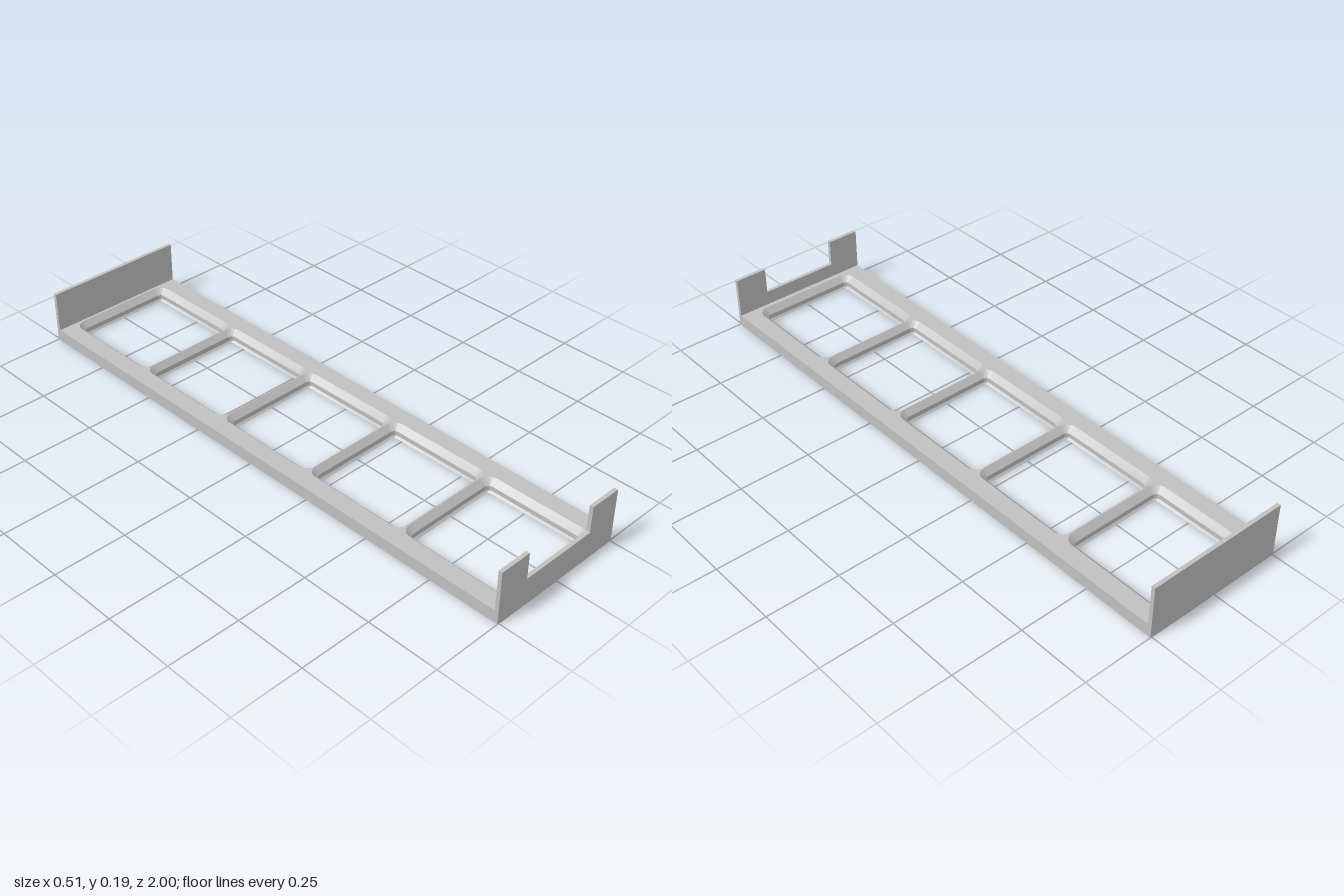
import * as THREE from 'three';
import { mergeGeometries, toCreasedNormals } from 'three/addons/utils/BufferGeometryUtils.js';

const WIDTH = 0.51, LENGTH = 2, HEIGHT = 0.186, PLATE = 0.043, WALL = 0.013;
const PITCH = 0.39, CELLS = 5, SHIFT = 0.004;

// Pocket profile from the top down: height, half size, corner radius
const PROFILE = [
  [PLATE, 0.1945, 0.037],
  [0.023, 0.175, 0.0175],
  [0.0065, 0.175, 0.0175],
  [0, 0.1685, 0.011],
];

// Counter-clockwise rounded square
function roundedRing(half, radius, cy, steps = 8) {
  const points = [];
  for (let corner = 0; corner < 4; corner++) {
    const mid = Math.PI / 4 + corner * Math.PI / 2;
    const cx = Math.sign(Math.cos(mid)) * (half - radius);
    const oy = Math.sign(Math.sin(mid)) * (half - radius);
    for (let i = 0; i <= steps; i++) {
      const a = corner * Math.PI / 2 + (i / steps) * Math.PI / 2;
      points.push(new THREE.Vector2(cx + radius * Math.cos(a), cy + oy + radius * Math.sin(a)));
    }
  }
  return points;
}

// Skin between successive rings; rising rings face outward, falling rings inward
function loft(rings, heights) {
  const n = rings[0].length, position = [], index = [];
  rings.forEach((ring, r) => ring.forEach((p) => position.push(p.x, p.y, heights[r])));
  for (let r = 0; r < rings.length - 1; r++) {
    for (let i = 0; i < n; i++) {
      const a = r * n + i, b = r * n + (i + 1) % n;
      index.push(a, b, b + n, a, b + n, a + n);
    }
  }
  const geometry = new THREE.BufferGeometry();
  geometry.setAttribute('position', new THREE.Float32BufferAttribute(position, 3));
  geometry.setIndex(index);
  return geometry;
}

// Flat face with holes, facing up or down
function face(outline, holes, height, down) {
  const shape = new THREE.Shape(outline);
  holes.forEach((ring) => shape.holes.push(new THREE.Path(ring)));
  const geometry = new THREE.ShapeGeometry(shape);
  geometry.deleteAttribute('uv');
  geometry.deleteAttribute('normal');
  if (down) geometry.setIndex(Array.from(geometry.index.array).reverse());
  return geometry.translate(0, 0, height);
}

function frameGeometry() {
  const w = WIDTH / 2, l = LENGTH / 2 - WALL;
  const outline = [[-w, -l], [w, -l], [w, l], [-w, l]].map(([x, y]) => new THREE.Vector2(x, y));
  const pockets = [];
  for (let i = 0; i < CELLS; i++) {
    const cy = (i - (CELLS - 1) / 2) * PITCH + SHIFT;
    pockets.push(PROFILE.map(([, half, radius]) => roundedRing(half, radius, cy)));
  }
  const heights = PROFILE.map(([h]) => h);
  const parts = [
    face(outline, pockets.map((p) => p[0]), PLATE, false),
    face(outline, pockets.map((p) => p[PROFILE.length - 1]), 0, true),
    loft([outline, outline], [0, PLATE]),
    ...pockets.map((p) => loft(p, heights)),
  ];
  const merged = mergeGeometries(parts.map((g) => g.toNonIndexed()));
  merged.computeVertexNormals();
  return toCreasedNormals(merged, 0.5).rotateX(-Math.PI / 2);
}

// Upright end wall, with an optional notch in its top edge
function wallGeometry(notched) {
  const w = WIDTH / 2, n = 0.14, floor = 0.093, r = 0.003;
  const shape = new THREE.Shape();
  shape.moveTo(-w, 0).lineTo(w, 0).lineTo(w, HEIGHT);
  if (notched) {
    shape.lineTo(n, HEIGHT).lineTo(n, floor + r);
    shape.quadraticCurveTo(n, floor, n - r, floor);
    shape.lineTo(-n + r, floor);
    shape.quadraticCurveTo(-n, floor, -n, floor + r);
    shape.lineTo(-n, HEIGHT);
  }
  shape.lineTo(-w, HEIGHT).lineTo(-w, 0);
  return new THREE.ExtrudeGeometry(shape, { depth: WALL, bevelEnabled: false, curveSegments: 4 });
}

export function createModel() {
  const grey = new THREE.MeshStandardMaterial({ color: 0xc0c0c0 });
  grey.name = 'light grey';
  const group = new THREE.Group();
  group.name = 'trayFrame';

  const add = (name, geometry, z = 0) => {
    const mesh = new THREE.Mesh(geometry, grey);
    mesh.name = name;
    mesh.position.z = z;
    group.add(mesh);
  };
  add('pocketFrame', frameGeometry());
  add('notchedFrontWall', wallGeometry(true), LENGTH / 2 - WALL);
  add('backWall', wallGeometry(false), -LENGTH / 2);
  return group;
}
